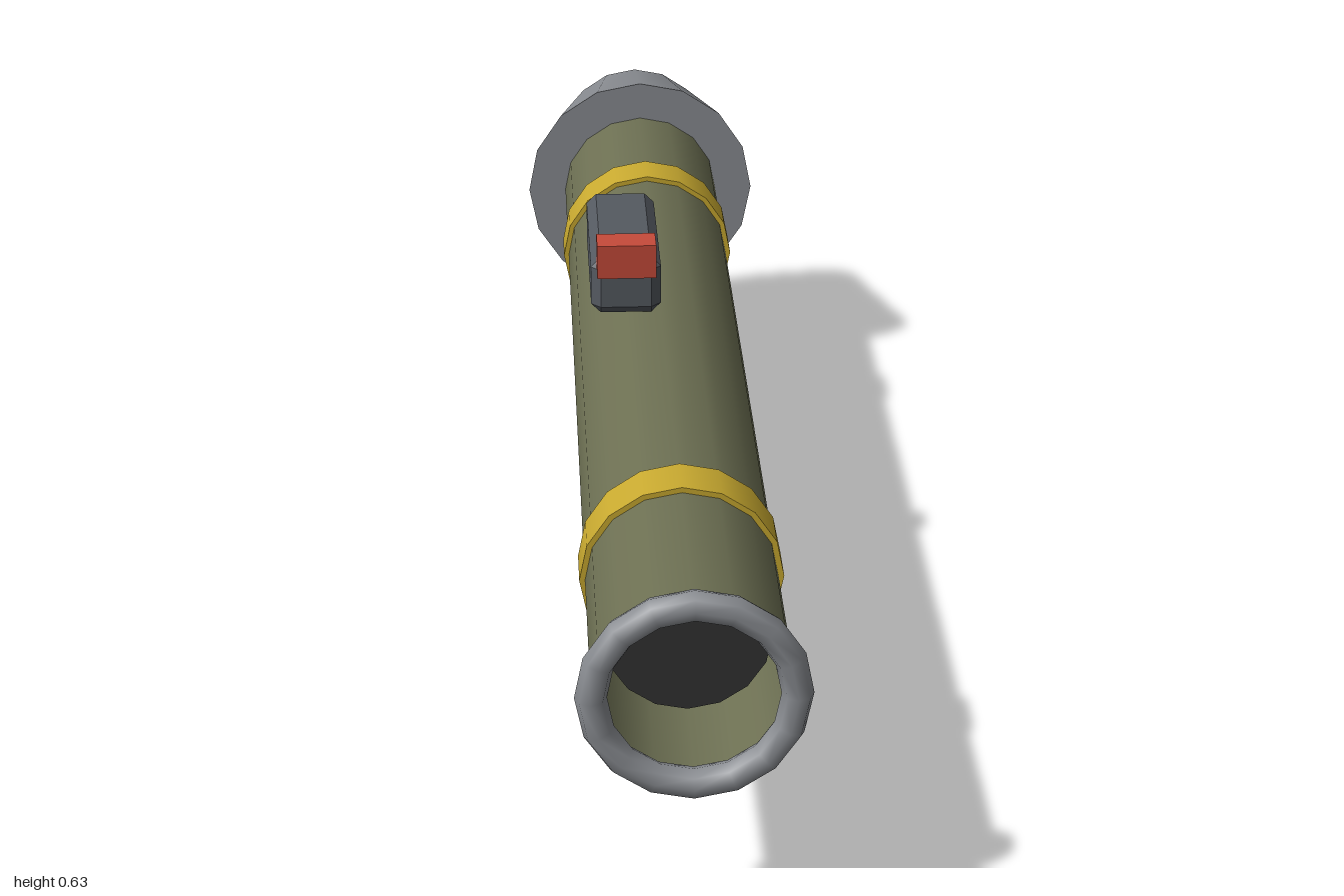
import * as THREE from 'three';
import { ConvexGeometry } from 'three/addons/geometries/ConvexGeometry.js';

const SIDES = 16;
const AXIS_Y = 0.37;

function material(name, color, options = {}) {
  const m = new THREE.MeshStandardMaterial({ color, ...options });
  m.name = name;
  return m;
}

// Box with every edge cut by a single flat chamfer
function chamferBox(w, h, d, c) {
  const points = [];
  const half = [w / 2, h / 2, d / 2];
  for (const sx of [-1, 1]) for (const sy of [-1, 1]) for (const sz of [-1, 1]) {
    for (let full = 0; full < 3; full++) {
      const p = half.map((v, i) => (i === full ? v : v - c));
      points.push(new THREE.Vector3(sx * p[0], sy * p[1], sz * p[2]));
    }
  }
  return new ConvexGeometry(points);
}

// Cylinder or cone along z, from zBack to zFront
function barrel(rFront, rBack, zFront, zBack, open = false) {
  const g = new THREE.CylinderGeometry(rFront, rBack, zFront - zBack, SIDES, 1, open);
  g.rotateX(Math.PI / 2);
  g.translate(0, AXIS_Y, (zFront + zBack) / 2);
  return g;
}

export function createModel() {
  const model = new THREE.Group();
  const olive = material('olive', 0x6d7053, { side: THREE.DoubleSide });
  const yellow = material('yellow', 0xc9aa30);
  const steel = material('steelGrey', 0x8a8d92);
  const black = material('gripBlack', 0x333333);
  const slate = material('sightGrey', 0x555a61);
  const red = material('red', 0xc74b3a);

  function add(name, geometry, mat, x = 0, y = 0, z = 0, tilt = 0) {
    const mesh = new THREE.Mesh(geometry, mat);
    mesh.name = name;
    mesh.position.set(x, y, z);
    mesh.rotation.x = tilt;
    model.add(mesh);
    return mesh;
  }

  // Open launch tube with a dark plug set back inside the mouth
  add('tube', barrel(0.135, 0.135, 0.98, -0.8, true), olive);
  add('borePlug', barrel(0.115, 0.115, 0.83, 0.7), black);

  // Rounded lip around the mouth
  add('muzzleRing', new THREE.TorusGeometry(0.1355, 0.0215, 8, SIDES), steel, 0, AXIS_Y, 0.98);

  // Closed rear cone, wide end forward
  add('rearCone', barrel(0.2, 0.135, -0.75, -1), steel);

  // Painted bands
  add('frontBand', barrel(0.143, 0.143, 0.673, 0.602), yellow);
  add('rearBand', barrel(0.143, 0.143, -0.453, -0.524), yellow);

  // Tilted grips below the tube
  add('frontGrip', chamferBox(0.082, 0.25, 0.128, 0.016), black, 0, 0.203, 0.268, -0.2);
  add('rearGrip', chamferBox(0.092, 0.3, 0.17, 0.02), black, 0, 0.161, -0.313, -0.22);

  // Sight body on top with a red block at its front end
  add('sightBody', chamferBox(0.108, 0.092, 0.284, 0.015), slate, -0.055, 0.549, -0.055);
  add('sightBlock', new THREE.BoxGeometry(0.09, 0.054, 0.048), red, -0.055, 0.605, 0.09);

  return model;
}
